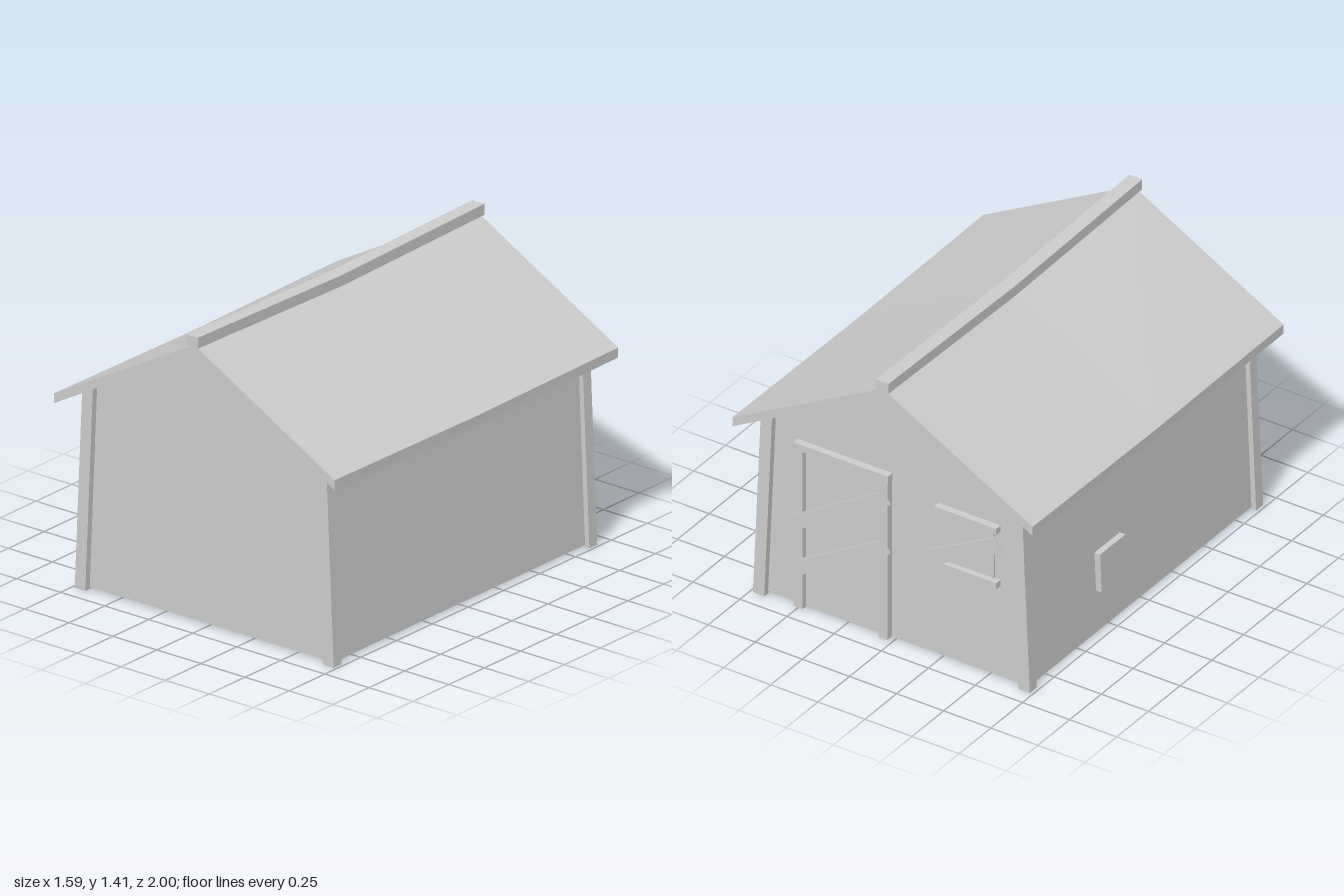
import * as THREE from 'three';

const wood = new THREE.MeshStandardMaterial({ color: 0xcccccc, side: THREE.DoubleSide });
wood.name = 'weathered grey';

// Underside height of the roof, and the inward lean of the walls
const under = (x) => 1.33 - 0.56 * Math.abs(x);
const LEAN = 0.044;
const WALL_Z = 0.89;

function part(parent, name, geometry) {
  const mesh = new THREE.Mesh(geometry, wood);
  mesh.name = name;
  parent.add(mesh);
  return mesh;
}

// Move every vertex of a geometry by a rule
function warp(geometry, rule) {
  const p = geometry.attributes.position;
  const v = new THREE.Vector3();
  for (let i = 0; i < p.count; i++) {
    v.fromBufferAttribute(p, i);
    rule(v);
    p.setXYZ(i, v.x, v.y, v.z);
  }
  geometry.computeVertexNormals();
  return geometry;
}

const outline = (points) => new THREE.Shape(points.map(([x, y]) => new THREE.Vector2(x, y)));

// Board on the back wall running between two points
function board(parent, name, [x1, y1], [x2, y2], width, depth, z) {
  const length = Math.hypot(x2 - x1, y2 - y1);
  const mesh = part(parent, name, new THREE.BoxGeometry(length, width, depth));
  mesh.position.set((x1 + x2) / 2, (y1 + y2) / 2, z);
  mesh.rotation.z = Math.atan2(y2 - y1, x2 - x1);
  return mesh;
}

export function createModel() {
  const hut = new THREE.Group();
  hut.name = 'hut';

  // Gable walls
  const gable = [[-0.71, 0.01], [0.71, 0.01], [0.67, under(0.67)], [0, 1.33], [-0.67, under(0.67)]];
  for (const side of [1, -1]) {
    const wall = part(hut, side > 0 ? 'frontWall' : 'backWall', new THREE.ShapeGeometry(outline(gable)));
    wall.position.z = side * WALL_Z;
    if (side < 0) wall.rotation.y = Math.PI;
  }

  // Leaning side walls
  for (const side of [1, -1]) {
    const g = new THREE.PlaneGeometry(2 * WALL_Z, 1);
    g.rotateY(side * Math.PI / 2);
    warp(g, (v) => {
      const top = v.y > 0;
      v.x = side * (top ? 0.67 : 0.71);
      v.y = top ? under(0.67) : 0.01;
    });
    part(hut, side > 0 ? 'leftWall' : 'rightWall', g);
  }

  // Corner posts, cut to the roof slope
  for (const sx of [1, -1]) for (const sz of [1, -1]) {
    const g = warp(new THREE.BoxGeometry(0.06, 1, 0.055), (v) => {
      const top = v.y > 0;
      const x = 0.705 + v.x * sx;
      v.y = top ? under(x - 0.041) : 0;
      v.x = sx * (x - LEAN * v.y);
      v.z += sz * 0.8925;
    });
    part(hut, 'cornerPost', g);
  }

  // Roof, sagging towards the middle
  const roof = new THREE.ExtrudeGeometry(
    outline([[0, 1.37], [-0.797, 0.932], [-0.797, 0.885], [0, 1.33], [0.797, 0.885], [0.797, 0.932]]),
    { depth: 1.98, steps: 2, bevelEnabled: false });
  roof.translate(0, 0, -0.99);
  part(hut, 'roof', warp(roof, (v) => {
    v.y -= 0.02 * (1 - Math.abs(v.z)) * (1 - 0.6 * Math.abs(v.x));
  }));

  // Ridge beam, bent at the middle
  part(hut, 'ridgeBeam', warp(new THREE.BoxGeometry(0.068, 0.052, 2, 1, 1, 2), (v) => {
    v.x -= 0.005;
    v.y += 1.366 + 0.022 * Math.abs(v.z);
  }));

  // Boarded-up door on the back
  const door = new THREE.Group();
  door.name = 'door';
  hut.add(door);
  const panel = part(door, 'doorPanel', new THREE.BoxGeometry(0.41, 0.82, 0.008));
  panel.position.set(0.265, 0.42, -WALL_Z - 0.003);
  board(door, 'doorJamb', [0.49, 0.01], [0.49, 0.84], 0.045, 0.04, -0.905);
  board(door, 'doorJamb', [0.04, 0.01], [0.04, 0.84], 0.045, 0.04, -0.905);
  board(door, 'doorLintel', [0.515, 0.85], [0.015, 0.85], 0.035, 0.04, -0.905);
  board(door, 'doorPlank', [0.53, 0.44], [0.02, 0.755], 0.07, 0.014, -0.928);
  board(door, 'doorPlank', [0.53, 0.2], [0.02, 0.5], 0.07, 0.014, -0.928);

  // Boarded-up window on the back
  const window = new THREE.Group();
  window.name = 'window';
  hut.add(window);
  const pane = part(window, 'windowPane', new THREE.BoxGeometry(0.27, 0.28, 0.008));
  pane.position.set(-0.395, 0.645, -WALL_Z - 0.003);
  board(window, 'windowHead', [-0.23, 0.785], [-0.56, 0.785], 0.032, 0.04, -0.905);
  board(window, 'windowSill', [-0.23, 0.5], [-0.56, 0.5], 0.032, 0.04, -0.905);
  board(window, 'windowPlank', [-0.2, 0.525], [-0.575, 0.725], 0.075, 0.014, -0.928);

  // Small hatch on the right side wall
  part(hut, 'sideHatch', warp(new THREE.BoxGeometry(0.03, 0.195, 0.2), (v) => {
    v.x += -0.727 - LEAN * -v.y;
    v.y += 0.335;
    v.z -= 0.27;
  }));

  return hut;
}
